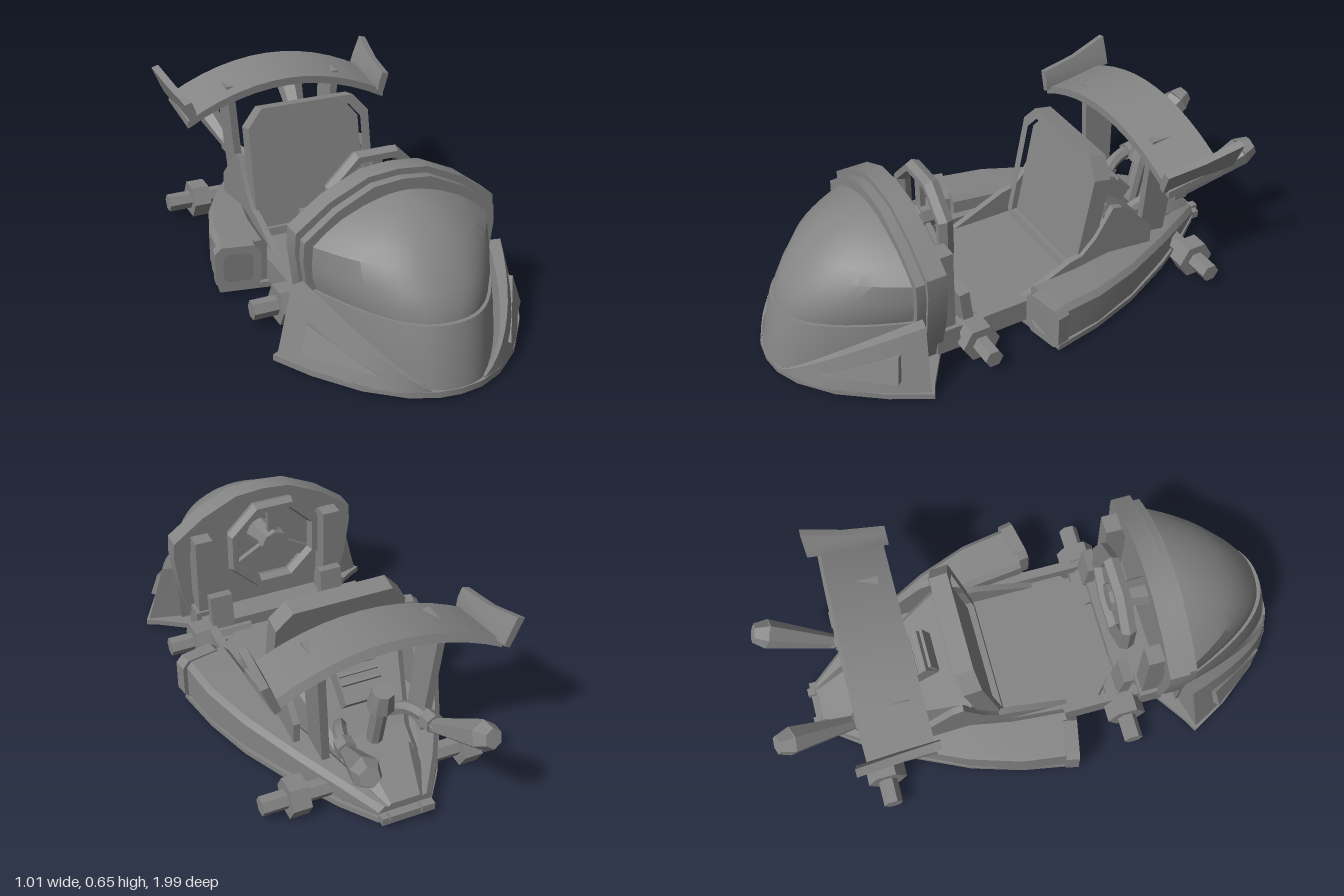
import * as THREE from 'three';
import { toCreasedNormals } from 'three/addons/utils/BufferGeometryUtils.js';

const V = (x, y, z) => new THREE.Vector3(x, y, z);

export function createModel() {
  const kart = new THREE.Group();
  kart.name = 'kart';
  const grey = new THREE.MeshStandardMaterial({ color: 0x848484 });
  grey.name = 'body grey';

  const add = (name, geo, parent = kart) => {
    const mesh = new THREE.Mesh(toCreasedNormals(geo, 0.5), grey);
    mesh.name = name;
    parent.add(mesh);
    return mesh;
  };
  const box = (name, w, h, d, x, y, z, parent) => {
    const m = add(name, new THREE.BoxGeometry(w, h, d), parent);
    m.position.set(x, y, z);
    return m;
  };
  // cylinder or cone running from a to b
  const rod = (name, a, b, ra, rb = ra, sides = 6) => {
    const dir = b.clone().sub(a);
    const m = add(name, new THREE.CylinderGeometry(rb, ra, dir.length(), sides));
    m.position.copy(a).add(b).multiplyScalar(0.5);
    m.quaternion.setFromUnitVectors(V(0, 1, 0), dir.normalize());
  };
  // closed skin through rings of equal length, with end caps and outward faces
  const loft = (rings) => {
    const n = rings[0].length, pts = rings.flat(), idx = [];
    for (let r = 0; r < rings.length - 1; r++) {
      for (let i = 0; i < n; i++) {
        const a = r * n + i, b = r * n + (i + 1) % n;
        idx.push(a, b, b + n, a, b + n, a + n);
      }
    }
    const last = (rings.length - 1) * n;
    for (let i = 1; i < n - 1; i++) idx.push(0, i + 1, i, last, last + i, last + i + 1);
    let volume = 0;
    for (let i = 0; i < idx.length; i += 3) {
      volume += pts[idx[i]].dot(pts[idx[i + 1]].clone().cross(pts[idx[i + 2]]));
    }
    if (volume < 0) idx.reverse();
    const geo = new THREE.BufferGeometry().setFromPoints(pts);
    geo.setIndex(idx);
    return geo;
  };
  const shapeOf = (pts) => new THREE.Shape(pts.map(([x, y]) => new THREE.Vector2(x, y)));
  const mirrored = (half) => half.concat(half.slice().reverse().filter((p) => p[0] > 0).map(([x, y]) => [-x, y]));
  const extrude = (shape, depth) => new THREE.ExtrudeGeometry(shape, { depth, bevelEnabled: false });
  // extruded outline with one hole
  const ring = (outer, inner, depth) => {
    const s = shapeOf(outer);
    s.holes.push(shapeOf(inner));
    return extrude(s, depth);
  };
  // plan outline (x, z) extruded upward from y0
  const slab = (name, plan, y0, h) => {
    const g = extrude(shapeOf(plan.map(([x, z]) => [x, -z])), h);
    g.rotateX(-Math.PI / 2);
    add(name, g).position.y = y0;
  };
  // chamfered rectangle section at depth z
  const section = (x0, x1, y0, y1, z, c = 0.02) => [
    V(x0, y0, z), V(x1 - c, y0, z), V(x1, y0 + c, z), V(x1, y1 - c, z),
    V(x1 - c, y1, z), V(x0 + c, y1, z), V(x0, y1 - c, z)];

  // floor plate with front wheel notches
  slab('floorPlate', mirrored([[0, 0.995], [0.08, 0.985], [0.17, 0.945], [0.286, 0.85], [0.4, 0.7], [0.478, 0.56],
    [0.43, 0.535], [0.29, 0.44], [0.27, 0.1], [0.32, 0.09], [0.485, 0.06], [0.45, -0.13], [0.39, -0.32],
    [0.29, -0.53], [0.19, -0.7], [0.1, -0.82], [0, -0.83]]), 0.018, 0.022);
  slab('underKeel', mirrored([[0, 0.95], [0.1, 0.9], [0.12, 0.5], [0.1, -0.7], [0, -0.8]]), 0.01, 0.01);

  // nose body and bubble hood: half rings of [y, half width, front z]
  const arc = ([y, w, front]) => Array.from({ length: 25 }, (_, i) => {
    const u = i / 12 - 1;
    return V(w * u, y, 0.52 + (front - 0.52) * (1 - Math.abs(u) ** 2.3));
  });
  add('noseBody', loft([[0.035, 0.34, 0.99], [0.12, 0.345, 0.975], [0.2, 0.345, 0.955], [0.25, 0.34, 0.94]].map(arc)));
  add('bubbleHood', loft([[0.25, 0.33, 0.925], [0.29, 0.342, 0.915], [0.34, 0.347, 0.885], [0.41, 0.345, 0.83],
    [0.45, 0.3, 0.785], [0.49, 0.24, 0.73], [0.525, 0.16, 0.655], [0.545, 0.09, 0.59], [0.556, 0.02, 0.53]].map(arc)));

  // cowl frame, step ring and closing panel behind the hood
  const cowl = (k, drop, floor = 0.04) => mirrored([[0, 0.615], [0.11, 0.605], [0.25, 0.54], [0.372, 0.45],
    [0.376, 0.38], [0.355, 0.22], [0.3, floor]].map(([x, y]) => [x * k, y > 0.1 ? y - drop : y])
    .concat([[0, floor]]));
  add('cowlFrame', ring(cowl(1, 0), cowl(0.86, 0.06, 0.07), 0.075)).position.z = 0.445;
  add('cowlStep', ring(cowl(0.96, 0.022), cowl(0.82, 0.08, 0.07), 0.035)).position.z = 0.52;
  add('dashPanel', extrude(shapeOf(cowl(0.9, 0.04)), 0.04)).position.z = 0.48;

  // steering wheel with hub, spokes and column
  const wheel = new THREE.Group();
  wheel.name = 'steeringWheel';
  wheel.position.set(0, 0.432, 0.345);
  kart.add(wheel);
  const rim = new THREE.TorusGeometry(0.18, 0.024, 6, 8);
  rim.rotateZ(Math.PI / 8);
  rim.scale(1, 1, 1.35);
  add('steeringRim', rim, wheel);
  const hub = new THREE.CylinderGeometry(0.055, 0.055, 0.05, 8);
  hub.rotateX(Math.PI / 2);
  add('steeringHub', hub, wheel);
  for (let i = 0; i < 3; i++) {
    const a = Math.PI / 2 + i * Math.PI * 2 / 3;
    box('steeringSpoke', 0.14, 0.04, 0.02, Math.cos(a) * 0.11, Math.sin(a) * 0.11, 0.01, wheel).rotation.z = a;
  }
  rod('steeringColumn', V(0, 0.432, 0.35), V(0, 0.4, 0.49), 0.045, 0.06, 8);

  // tub floor and seat
  slab('seatTray', mirrored([[0, 0.28], [0.2, 0.28], [0.265, 0.22], [0.265, -0.24], [0, -0.24]]), 0.04, 0.05);
  box('footwell', 0.56, 0.04, 0.24, 0, 0.06, 0.38);
  box('footBrace', 0.42, 0.07, 0.04, 0, 0.095, 0.33);
  const backOutline = mirrored([[0, 0.5], [0.19, 0.5], [0.25, 0.43], [0.25, 0.03], [0.22, 0], [0, 0]]);
  const inset = mirrored([[0, 0.465], [0.17, 0.465], [0.215, 0.41], [0.215, 0.03], [0, 0.03]]);
  const seat = new THREE.Group();
  seat.name = 'seat';
  seat.position.set(0, 0.085, -0.21);
  seat.rotation.x = -0.19;
  kart.add(seat);
  add('seatBackRim', ring(backOutline, inset, 0.07), seat);
  add('seatBackPad', extrude(shapeOf(inset), 0.045), seat);

  // sloped engine deck and tail
  add('engineDeck', loft([section(-0.25, 0.25, 0.05, 0.37, -0.27), section(-0.23, 0.23, 0.05, 0.365, -0.31),
    section(-0.18, 0.18, 0.05, 0.25, -0.46), section(-0.15, 0.15, 0.05, 0.17, -0.55), section(-0.13, 0.13, 0.05, 0.15, -0.66)]));
  add('tailCover', loft([section(-0.13, 0.13, 0.04, 0.165, -0.64, 0.03), section(-0.115, 0.115, 0.04, 0.16, -0.71, 0.04),
    section(-0.08, 0.08, 0.035, 0.09, -0.82, 0.025)]));
  box('tailBumper', 0.2, 0.03, 0.03, 0, 0.045, -0.835);
  for (const x of [-0.06, 0.06]) box('tailBolt', 0.03, 0.025, 0.03, x, 0.06, -0.845);

  // engine block with cooling fins and air funnel
  box('engineBlock', 0.16, 0.1, 0.15, 0, 0.3, -0.42).rotation.x = -0.7;
  for (let i = 0; i < 4; i++) {
    box('coolingFin', 0.15, 0.07, 0.012, 0, 0.365 - i * 0.018, -0.365 - i * 0.027).rotation.x = -0.4;
  }
  rod('airFunnel', V(0, 0.15, -0.57), V(0, 0.34, -0.61), 0.03, 0.03, 8);
  rod('airFunnelCap', V(0, 0.34, -0.61), V(0, 0.42, -0.625), 0.05, 0.04, 8);

  // rear wing: arched blade, tilted up at the back
  const blade = [];
  for (let i = 0; i <= 12; i++) {
    const x = -0.42 + i * 0.07, y = 0.62 - 0.115 * (x / 0.42) ** 2;
    blade.push([V(x, y - 0.03, -0.43), V(x, y, -0.43), V(x, y + 0.033, -0.66), V(x, y + 0.003, -0.675)]);
  }
  add('wingBlade', loft(blade));

  const octagon = (r, c) => mirrored([[0, r], [r - c, r], [r, r - c], [r, c - r], [r - c, -r], [0, -r]]);

  for (const s of [-1, 1]) {
    const side = s > 0 ? 'left' : 'right';

    // flared nose fender rising toward the rear
    const fender = [];
    for (let i = 0; i <= 10; i++) {
      const u = 0.22 + 0.078 * i, t = (i / 10) ** 1.1, z = 0.565 + 0.42 * (1 - u ** 2.3);
      const top = 0.045 + 0.235 * t, x = 0.465 * u;
      fender.push([V(s * x, 0.035, z), V(s * (x - 0.065 * t), top, z - 0.02 * t),
        V(s * (x - 0.105 * t - 0.005), top, z - 0.03 * t), V(s * (x - 0.13 * t - 0.03), 0.035, z - 0.04)]);
    }
    add(side + 'Fender', loft(fender));

    // raised triangular fender vent
    const vent = [V(s * 0.245, 0.085, 0.89), V(s * 0.42, 0.085, 0.67), V(s * 0.393, 0.185, 0.65)];
    add(side + 'FenderVent', loft([vent, vent.map((p) => p.clone().add(V(-s * 0.06, 0, -0.08)))]));

    // side pod tapering to the tail
    add(side + 'SidePod', loft([[0.07, 0.3, 0.485, 0.205], [-0.13, 0.28, 0.455, 0.195], [-0.32, 0.24, 0.39, 0.18],
      [-0.53, 0.16, 0.285, 0.155], [-0.7, 0.1, 0.185, 0.125], [-0.82, 0.05, 0.1, 0.085]].map(
      ([z, xi, xo, top]) => section(xi, xo, 0.035, top, z).map((p) => p.setX(p.x * s)))));

    // pod intake frame around a recessed centre
    const frame = add(side + 'IntakeFrame', ring(octagon(0.085, 0.025), octagon(0.055, 0.015), 0.05));
    frame.position.set(s * 0.412, 0.125, 0.045);
    frame.rotation.y = s * 0.2;

    // tub rail and shell beside the seat
    box(side + 'TubRail', 0.035, 0.09, 0.85, s * 0.285, 0.085, 0.03);
    const shell = extrude(shapeOf([[-0.1, 0.1], [0.12, 0.2], [0.17, 0.21], [0.23, 0.27], [0.3, 0.385], [0.34, 0.375],
      [0.48, 0.24], [0.48, 0.1]]), 0.025);
    shell.rotateY(Math.PI / 2);
    add(side + 'SeatShell', shell).position.x = s * 0.255 - 0.0125;

    // dash arms and pedal housing
    box(side + 'DashArm', 0.07, 0.33, 0.08, s * 0.27, 0.305, 0.425);
    box(side + 'LowerDashArm', 0.09, 0.1, 0.09, s * 0.275, 0.1, 0.42);
    box(side + 'PedalHousing', 0.09, 0.14, 0.04, s * 0.235, 0.18, 0.325).rotation.x = 0.12;

    // hexagonal hubs and axles
    for (const [end, z] of [['Front', 0.312], ['Rear', -0.638]]) {
      rod(side + end + 'Hub', V(s * 0.295, 0.072, z), V(s * 0.365, 0.072, z), 0.074);
      rod(side + end + 'Axle', V(s * 0.12, 0.072, z), V(s * 0.458, 0.072, z), 0.036);
    }

    // exhaust pipe with a flared muffler
    const path = new THREE.CatmullRomCurve3([V(s * 0.1, 0.2, -0.5), V(s * 0.13, 0.25, -0.56),
      V(s * 0.155, 0.265, -0.63), V(s * 0.165, 0.27, -0.72)]);
    add(side + 'ExhaustPipe', new THREE.TubeGeometry(path, 8, 0.025, 6));
    rod(side + 'ExhaustCollar', V(s * 0.16, 0.265, -0.65), V(s * 0.165, 0.27, -0.7), 0.037);
    rod(side + 'Muffler', V(s * 0.165, 0.265, -0.7), V(s * 0.212, 0.395, -0.93), 0.027, 0.055);
    rod(side + 'MufflerTip', V(s * 0.212, 0.395, -0.93), V(s * 0.22, 0.415, -0.975), 0.055, 0.036);

    // wing strut and flared end plate
    const strut = (x, y, z, d) => [V(s * (x - 0.015), y, z), V(s * (x + 0.015), y, z),
      V(s * (x + 0.015), y, z - d), V(s * (x - 0.015), y, z - d)];
    add(side + 'WingStrut', loft([strut(0.19, 0.13, -0.475, 0.11), strut(0.225, 0.6, -0.48, 0.13)]));
    const plate = (z, xb, yb, xm, ym, xt, yt) => [V(s * xb, yb, z), V(s * xm, ym, z), V(s * xt, yt, z),
      V(s * (xt - 0.028), yt + 0.008, z), V(s * (xm - 0.028), ym + 0.008, z), V(s * (xb - 0.022), yb + 0.012, z)];
    add(side + 'EndPlate', loft([plate(-0.41, 0.41, 0.5, 0.42, 0.54, 0.435, 0.58),
      plate(-0.56, 0.415, 0.515, 0.43, 0.56, 0.45, 0.6), plate(-0.71, 0.425, 0.53, 0.445, 0.575, 0.472, 0.642)]));
  }
  return kart;
}
